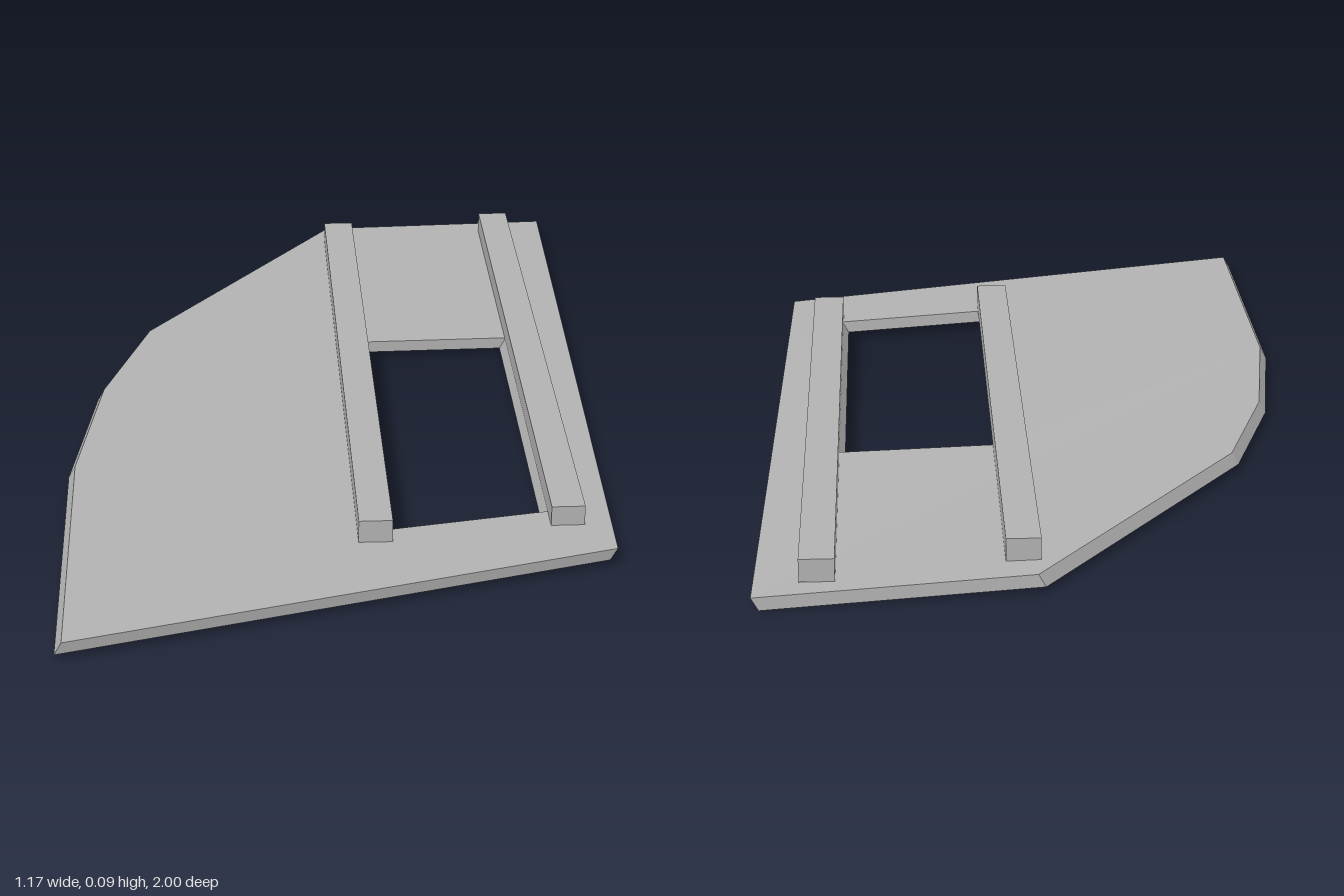
import * as THREE from 'three';

const THICK = 0.027, BASE = 0.0195, LEAN = 0.015;

// The plate dips gently towards its back left corner.
function dip(x, z) {
  const u = THREE.MathUtils.clamp((x + 0.4) / 0.97, 0, 1);
  const v = THREE.MathUtils.clamp((0.7 - z) / 1.7, 0, 1);
  return 0.0155 * u * u * v;
}

const toPoints = (list) => list.map(([x, z]) => new THREE.Vector2(x, -z));

export function createModel() {
  const group = new THREE.Group();
  group.name = 'slottedPanel';
  const grey = new THREE.MeshStandardMaterial({ color: 0xb2b2b2 });
  grey.name = 'plain grey';

  // Panel: faceted outline with a slanted opening, given as x, z
  const shape = new THREE.Shape(toPoints([
    [-0.572, 1], [0.547, 0.7], [0.582, -1], [0.03, -0.95],
    [-0.42, -0.36], [-0.52, -0.06], [-0.572, 0.3],
  ]));
  shape.holes.push(new THREE.Path(toPoints([
    [0.09, 0.6], [0.09, -0.28], [0.425, -0.295], [0.425, 0.54],
  ])));
  const panelGeo = new THREE.ExtrudeGeometry(shape, { depth: THICK, bevelEnabled: false });
  panelGeo.rotateX(-Math.PI / 2);

  // Lean the edges and dip the back corner
  const p = panelGeo.attributes.position;
  for (let i = 0; i < p.count; i++) {
    const x = p.getX(i), y = p.getY(i), z = p.getZ(i);
    p.setXYZ(i, x - LEAN * (1 - y / THICK), BASE + y - dip(x, z), z);
  }
  panelGeo.computeVertexNormals();
  const panel = new THREE.Mesh(panelGeo, grey);
  panel.name = 'panel';
  group.add(panel);

  // Rails: long bars along the opening, slightly lower at the back
  const addRail = (name, x, zBack, zFront, topFront, topBack, bottomBack) => {
    const geo = new THREE.BoxGeometry(0.07, 1, zFront - zBack);
    geo.translate(x, 0, (zFront + zBack) / 2);
    const q = geo.attributes.position;
    for (let i = 0; i < q.count; i++) {
      const front = q.getZ(i) > 0;
      q.setY(i, q.getY(i) > 0 ? (front ? topFront : topBack) : (front ? 0.044 : bottomBack));
    }
    geo.computeVertexNormals();
    const rail = new THREE.Mesh(geo, grey);
    rail.name = name;
    group.add(rail);
  };
  addRail('rightRail', 0.055, -0.88, 0.65, 0.096, 0.089, 0.041);
  addRail('leftRail', 0.457, -0.94, 0.6, 0.09, 0.082, 0.034);

  return group;
}
